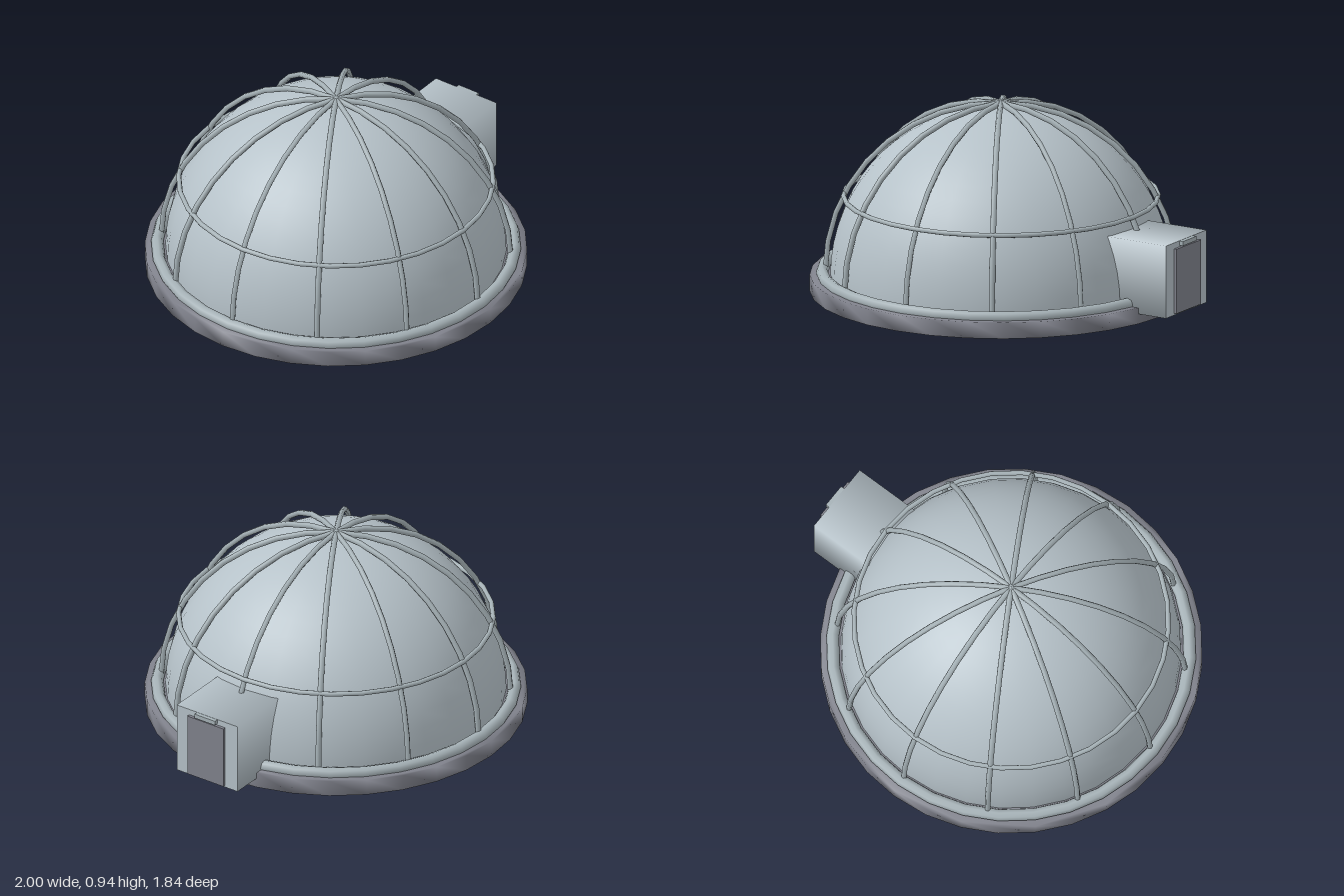
import * as THREE from 'three';
import { mergeVertices } from 'three/addons/utils/BufferGeometryUtils.js';

const CENTER_X = -0.08;

const mat = (name, color) => {
  const m = new THREE.MeshStandardMaterial({ color });
  m.name = name;
  return m;
};

// Welds all corners so the shading rolls softly over the edges
function soften(geometry) {
  geometry.deleteAttribute('normal');
  geometry.deleteAttribute('uv');
  const g = mergeVertices(geometry, 1e-4);
  g.clearGroups();
  g.computeVertexNormals();
  return g;
}

export function createModel() {
  const shell = mat('paleShell', 0xb6c2c9);
  const frame = mat('frameGrey', 0xa6b2b7);
  const dark = mat('darkGrey', 0x80828c);

  const group = new THREE.Group();
  group.name = 'domeHabitat';
  const add = (name, geometry, material, x = 0, y = 0, z = 0, parent = group) => {
    const mesh = new THREE.Mesh(geometry, material);
    mesh.name = name;
    mesh.position.set(x, y, z);
    parent.add(mesh);
    return mesh;
  };

  // Foundation disc
  const outline = new THREE.Shape();
  for (let i = 0; i < 32; i++) {
    const a = (i / 32) * Math.PI * 2;
    const p = [0.92 * Math.cos(a), 0.92 * Math.sin(a)];
    if (i) outline.lineTo(...p);
    else outline.moveTo(...p);
  }
  outline.closePath();
  const disc = new THREE.ExtrudeGeometry(outline, { depth: 0.08, bevelEnabled: false });
  disc.rotateX(-Math.PI / 2);
  add('foundation', soften(disc), dark, CENTER_X);

  // Dome shell
  add('dome', new THREE.SphereGeometry(0.82, 32, 16, 0, Math.PI * 2, 0, Math.PI / 2),
    shell, CENTER_X, 0.08);

  // Horizontal rings
  const ring = (name, radius, tube, y) => {
    const g = new THREE.TorusGeometry(radius, tube, 8, 32);
    g.rotateX(Math.PI / 2);
    add(name, g, frame, CENTER_X, y);
  };
  ring('baseRing', 0.86, 0.03, 0.09);
  ring('middleRing', 0.757, 0.012, 0.47);

  // Twelve ribs from the base ring to the apex
  const ribs = new THREE.Group();
  ribs.name = 'ribs';
  ribs.position.set(CENTER_X, 0.085, 0);
  group.add(ribs);
  const points = [];
  for (let i = 0; i <= 8; i++) {
    const a = (i / 8) * Math.PI / 2;
    points.push(new THREE.Vector3(0.845 * Math.cos(a), 0.845 * Math.sin(a), 0));
  }
  const ribGeometry = new THREE.TubeGeometry(new THREE.CatmullRomCurve3(points), 9, 0.014, 6);
  for (let i = 0; i < 12; i++) {
    add('rib', ribGeometry, frame, 0, 0, 0, ribs).rotation.y = (i * Math.PI) / 6;
  }

  // Square entrance tunnel with softly rounded shading along its sides
  const tunnel = new THREE.CylinderGeometry(0.18 * Math.SQRT2, 0.18 * Math.SQRT2, 0.38, 4);
  tunnel.rotateY(Math.PI / 4);
  tunnel.rotateZ(-Math.PI / 2);
  add('entranceTunnel', tunnel, shell, 0.79, 0.23);

  // Door and the light bar above it
  add('door', new THREE.BoxGeometry(0.02, 0.32, 0.214), dark, 0.985, 0.22);
  add('lightBar', new THREE.BoxGeometry(0.025, 0.022, 0.12), frame, 0.9875, 0.398);

  return group;
}
